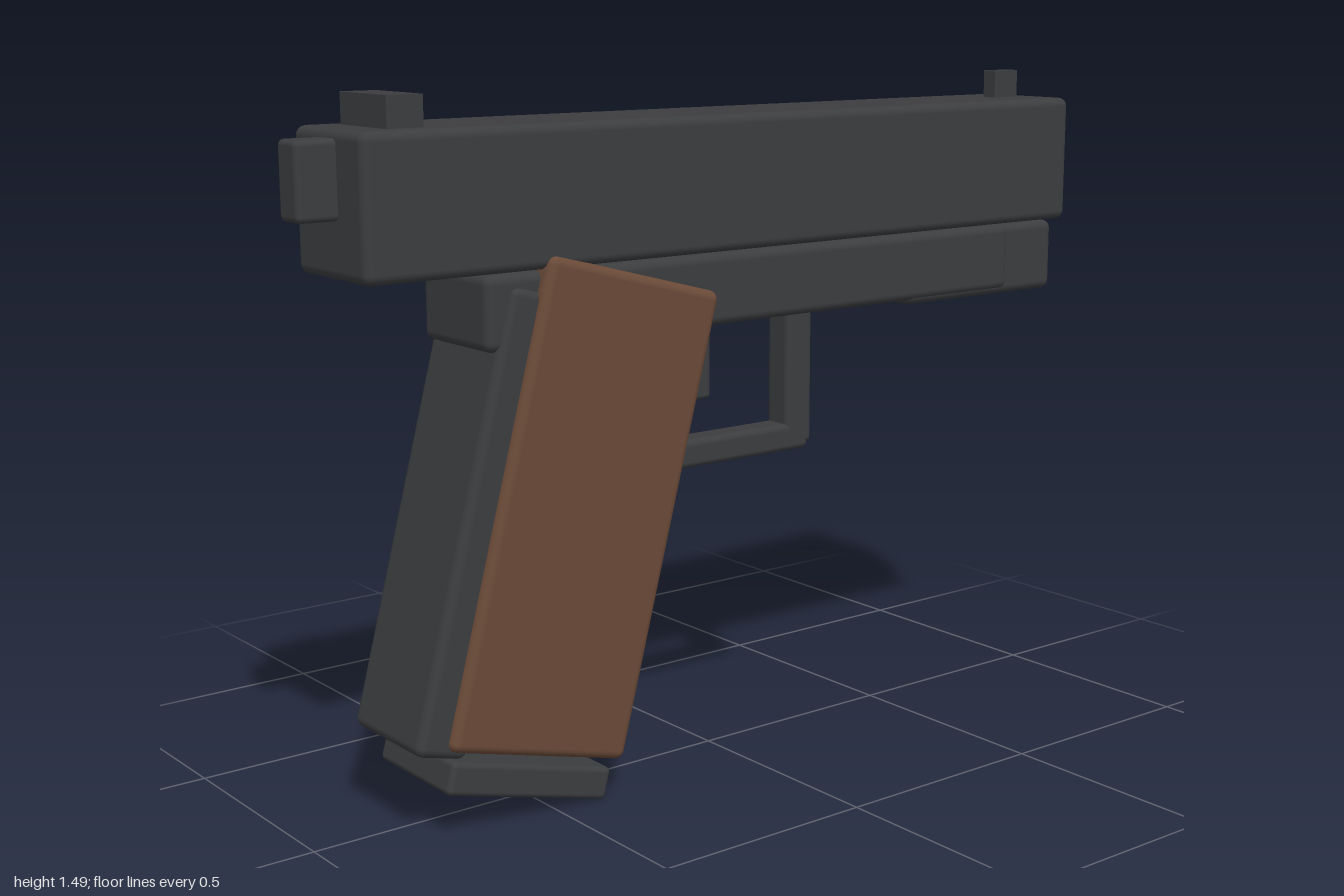
import * as THREE from 'three';
import { RoundedBoxGeometry } from 'three/addons/geometries/RoundedBoxGeometry.js';

const metal = new THREE.MeshStandardMaterial({ color: 0x3c3d3f });
const wood = new THREE.MeshStandardMaterial({ color: 0x6a4a38 });
const black = new THREE.MeshStandardMaterial({ color: 0x111111 });

// Box from its half width and its y and z ranges; radius 0 gives sharp edges
function block(parent, name, halfX, [y0, y1], [z0, z1], radius, material = metal) {
  const size = [halfX * 2, y1 - y0, z1 - z0];
  const geometry = radius > 0
    ? new RoundedBoxGeometry(...size, 3, radius)
    : new THREE.BoxGeometry(...size);
  const mesh = new THREE.Mesh(geometry, material);
  mesh.name = name;
  mesh.position.set(0, (y0 + y1) / 2, (z0 + z1) / 2);
  parent.add(mesh);
  return mesh;
}

export function createModel() {
  const model = new THREE.Group();
  model.name = 'pistol';

  // Upper body with its sights and rear knob
  block(model, 'slide', 0.135, [1.145, 1.432], [-0.99, 0.915], 0.02);
  block(model, 'rearSight', 0.088, [1.42, 1.495], [0.755, 0.835], 0);
  block(model, 'frontSight', 0.018, [1.42, 1.495], [-0.93, -0.855], 0);
  block(model, 'rearKnob', 0.037, [1.26, 1.415], [0.87, 1], 0.012);

  // Dark bore disc, just proud of the front end
  const muzzle = new THREE.Mesh(new THREE.CylinderGeometry(0.052, 0.052, 0.04, 24), black);
  muzzle.name = 'muzzle';
  muzzle.rotation.x = Math.PI / 2;
  muzzle.position.set(0, 1.288, -0.978);
  model.add(muzzle);

  // Lower frame
  block(model, 'frame', 0.122, [0.988, 1.142], [-0.81, 0.645], 0.02);
  block(model, 'dustCover', 0.116, [0.977, 1.142], [-0.965, -0.49], 0.02);

  // Trigger and its guard
  block(model, 'trigger', 0.027, [0.81, 1.02], [0.013, 0.07], 0.01);
  block(model, 'guardPost', 0.036, [0.675, 0.985], [-0.272, -0.197], 0.014);
  block(model, 'guardBar', 0.036, [0.663, 0.725], [-0.262, 0.195], 0.014);

  // Raked grip, built upright and then tilted
  const grip = new THREE.Group();
  grip.name = 'grip';
  grip.position.set(0, 0.632, 0.424);
  grip.rotation.x = -Math.PI / 12;
  block(grip, 'gripPanel', 0.149, [-0.505, 0.505], [-0.22, 0.22], 0.02, wood);
  block(grip, 'backStrap', 0.131, [-0.522, 0.43], [0.165, 0.285], 0.02);
  block(grip, 'basePlate', 0.136, [-0.595, -0.525], [-0.2, 0.2], 0.012);
  model.add(grip);

  return model;
}
